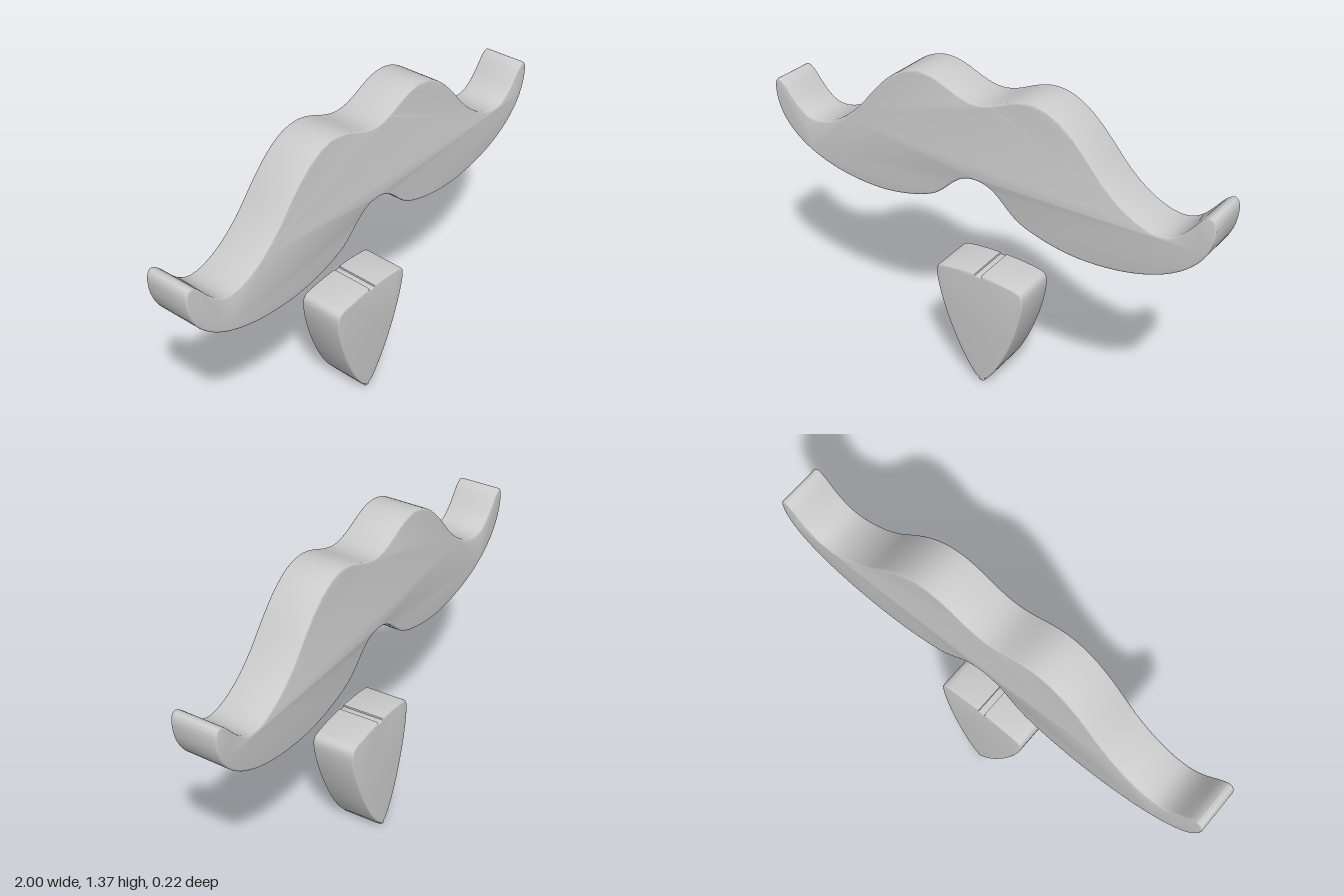
import * as THREE from 'three';
import { toCreasedNormals } from 'three/addons/utils/BufferGeometryUtils.js';

const material = new THREE.MeshStandardMaterial({ color: 0xcccccc });
const BEVEL = 0.008;

// Samples the right half of an outline, then mirrors it across x = 0
function mirroredShape(half, divisions) {
  const pts = half.getPoints(divisions);
  const mirror = pts
    .filter((p) => p.x > 1e-5)
    .reverse()
    .map((p) => new THREE.Vector2(-p.x, p.y));
  return new THREE.Shape([...pts, ...mirror]);
}

// Slab centred on z = 0 with softly rounded rims
function slab(name, shape, depth) {
  const geometry = new THREE.ExtrudeGeometry(shape, {
    depth: depth - 2 * BEVEL,
    bevelThickness: BEVEL,
    bevelSize: BEVEL,
    bevelOffset: -BEVEL,
    bevelSegments: 3,
  });
  geometry.translate(0, 0, BEVEL - depth / 2);
  const mesh = new THREE.Mesh(toCreasedNormals(geometry, 0.65), material);
  mesh.name = name;
  return mesh;
}

function moustacheShape() {
  const p = new THREE.Path();
  p.moveTo(0, 1.305);
  // Upper edge: dip, hump and slope down to the hollow
  p.bezierCurveTo(0.09, 1.305, 0.15, 1.372, 0.245, 1.372);
  p.bezierCurveTo(0.36, 1.372, 0.45, 1.265, 0.53, 1.17);
  p.bezierCurveTo(0.62, 1.065, 0.72, 1.013, 0.79, 1.013);
  // Upturned tip
  p.bezierCurveTo(0.88, 1.013, 0.92, 1.118, 0.963, 1.143);
  p.bezierCurveTo(0.983, 1.157, 1.0, 1.14, 1.0, 1.105);
  // Lower edge back to the central arch
  p.bezierCurveTo(1.0, 0.91, 0.77, 0.797, 0.49, 0.797);
  p.bezierCurveTo(0.38, 0.797, 0.26, 0.83, 0.205, 0.858);
  p.bezierCurveTo(0.13, 0.895, 0.1, 0.982, 0, 0.982);
  return mirroredShape(p, 20);
}

function goateeShape() {
  const p = new THREE.Path();
  // Fine groove in the middle of the top
  p.moveTo(0, 0.537);
  p.lineTo(0.014, 0.537);
  p.lineTo(0.015, 0.544);
  // Gently domed top and rounded corner
  p.bezierCurveTo(0.08, 0.544, 0.14, 0.538, 0.178, 0.53);
  p.bezierCurveTo(0.2, 0.525, 0.208, 0.512, 0.208, 0.485);
  // Bowed side down to the chin point
  p.bezierCurveTo(0.205, 0.37, 0.11, 0.11, 0.024, 0.019);
  p.lineTo(0.014, 0.014);
  p.lineTo(0.012, 0.002);
  p.lineTo(0, 0);
  return mirroredShape(p, 20);
}

export function createModel() {
  const model = new THREE.Group();
  model.name = 'moustacheAndGoatee';

  const moustache = slab('moustache', moustacheShape(), 0.19);
  moustache.position.z = 0.018;
  model.add(moustache);

  // The goatee leans slightly, its point set back
  const goatee = slab('goatee', goateeShape(), 0.19);
  goatee.rotation.x = 0.035;
  goatee.position.set(0, 0.003, -0.017);
  model.add(goatee);

  return model;
}
